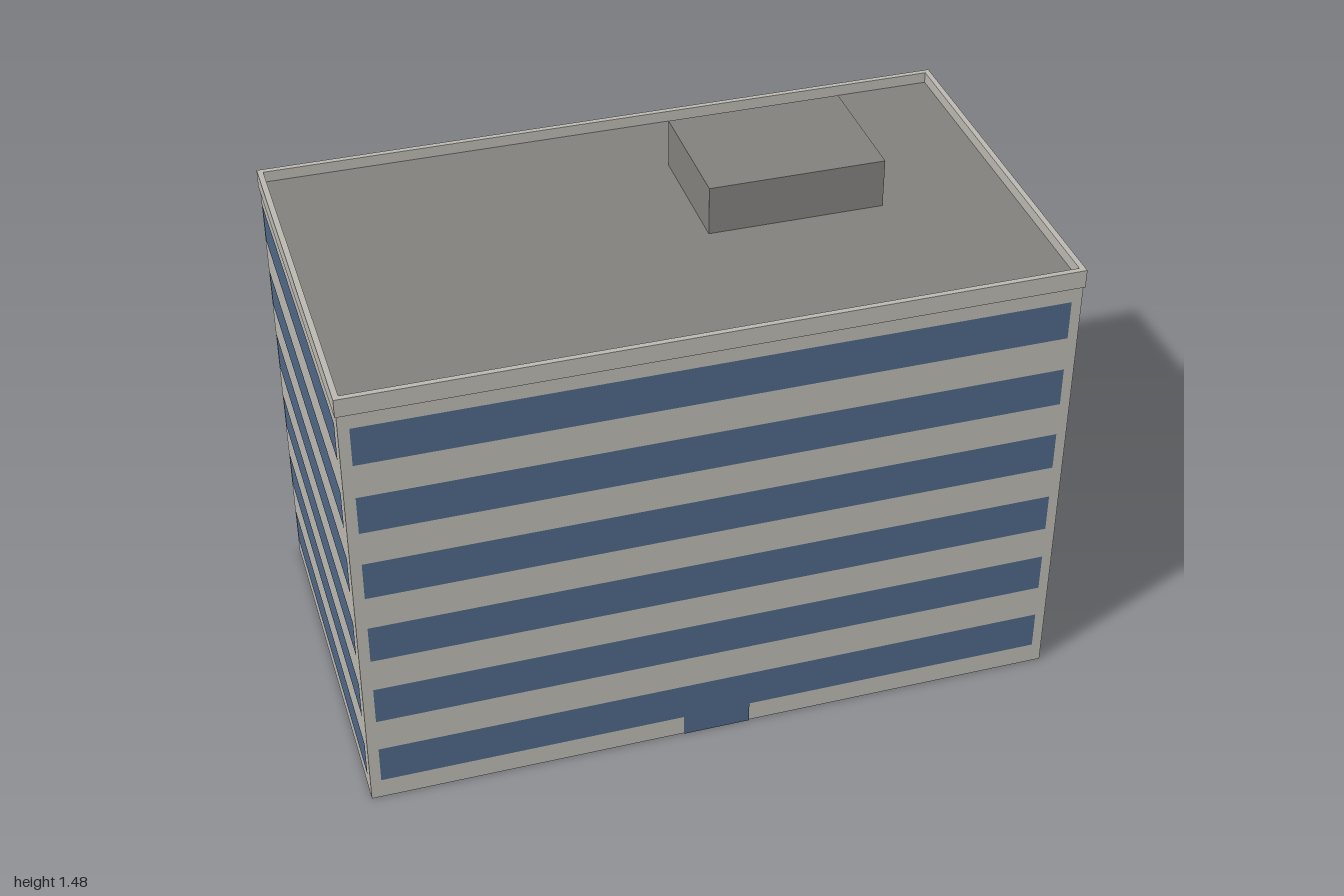
import * as THREE from 'three';

const X = 0.996, Z = 0.56;      // wall half sizes
const ROOF = 1.333, TOP = 1.365;  // roof deck and parapet top
const FLOORS = 6, PITCH = 0.218;

export function createModel() {
  const building = new THREE.Group();
  building.name = 'officeBlock';

  const material = (name, color, side = THREE.FrontSide) => {
    const m = new THREE.MeshStandardMaterial({ color, side });
    m.name = name;
    return m;
  };
  const concrete = material('concrete', 0xb9b7af, THREE.DoubleSide);
  const roofGrey = material('roofGrey', 0x82807d, THREE.DoubleSide);
  const glass = material('blueGlass', 0x4e6685);

  const add = (parent, name, geometry, mat, x = 0, y = 0, z = 0) => {
    const mesh = new THREE.Mesh(geometry, mat);
    mesh.name = name;
    mesh.position.set(x, y, z);
    parent.add(mesh);
    return mesh;
  };

  // Four facades, each a thin wall with a window band per floor
  const sides = [
    ['front', X, Z, 0], ['left', Z, X, Math.PI / 2],
    ['back', X, Z, Math.PI], ['right', Z, X, -Math.PI / 2],
  ];
  for (const [name, half, depth, turn] of sides) {
    const facade = new THREE.Group();
    facade.name = name + 'Facade';
    facade.rotation.y = turn;
    add(facade, name + 'Wall', new THREE.PlaneGeometry(half * 2, ROOF), concrete, 0, ROOF / 2, depth);
    for (let i = 0; i < FLOORS; i++) {
      add(facade, name + 'WindowBand', new THREE.PlaneGeometry((half - 0.03) * 2, 0.116),
        glass, 0, 0.122 + i * PITCH, depth + 0.002);
    }
    // Entrance below the lowest front band
    if (name === 'front') {
      add(facade, 'entranceDoor', new THREE.PlaneGeometry(0.194, 0.1), glass, 0, 0.05, depth + 0.003);
    }
    building.add(facade);
  }

  // Flat roof deck
  const deck = add(building, 'roofDeck', new THREE.PlaneGeometry(X * 2, Z * 2), roofGrey, 0, ROOF, 0);
  deck.rotation.x = -Math.PI / 2;

  // Parapet ring, slightly proud of the walls
  const rectangle = (path, w, d) =>
    path.moveTo(-w, -d).lineTo(w, -d).lineTo(w, d).lineTo(-w, d).closePath();
  const ring = new THREE.Shape();
  rectangle(ring, 1, 0.564);
  const hole = new THREE.Path();
  rectangle(hole, 0.984, 0.548);
  ring.holes.push(hole);
  const parapet = add(building, 'parapet',
    new THREE.ExtrudeGeometry(ring, { depth: TOP - 1.312, bevelEnabled: false }), concrete, 0, 1.312, 0);
  parapet.rotation.x = -Math.PI / 2;

  // Rooftop plant room
  const plantHeight = 1.475 - ROOF;
  add(building, 'plantRoom', new THREE.BoxGeometry(0.5, plantHeight, 0.375), roofGrey,
    0.37, ROOF + plantHeight / 2, -0.126);

  return building;
}
